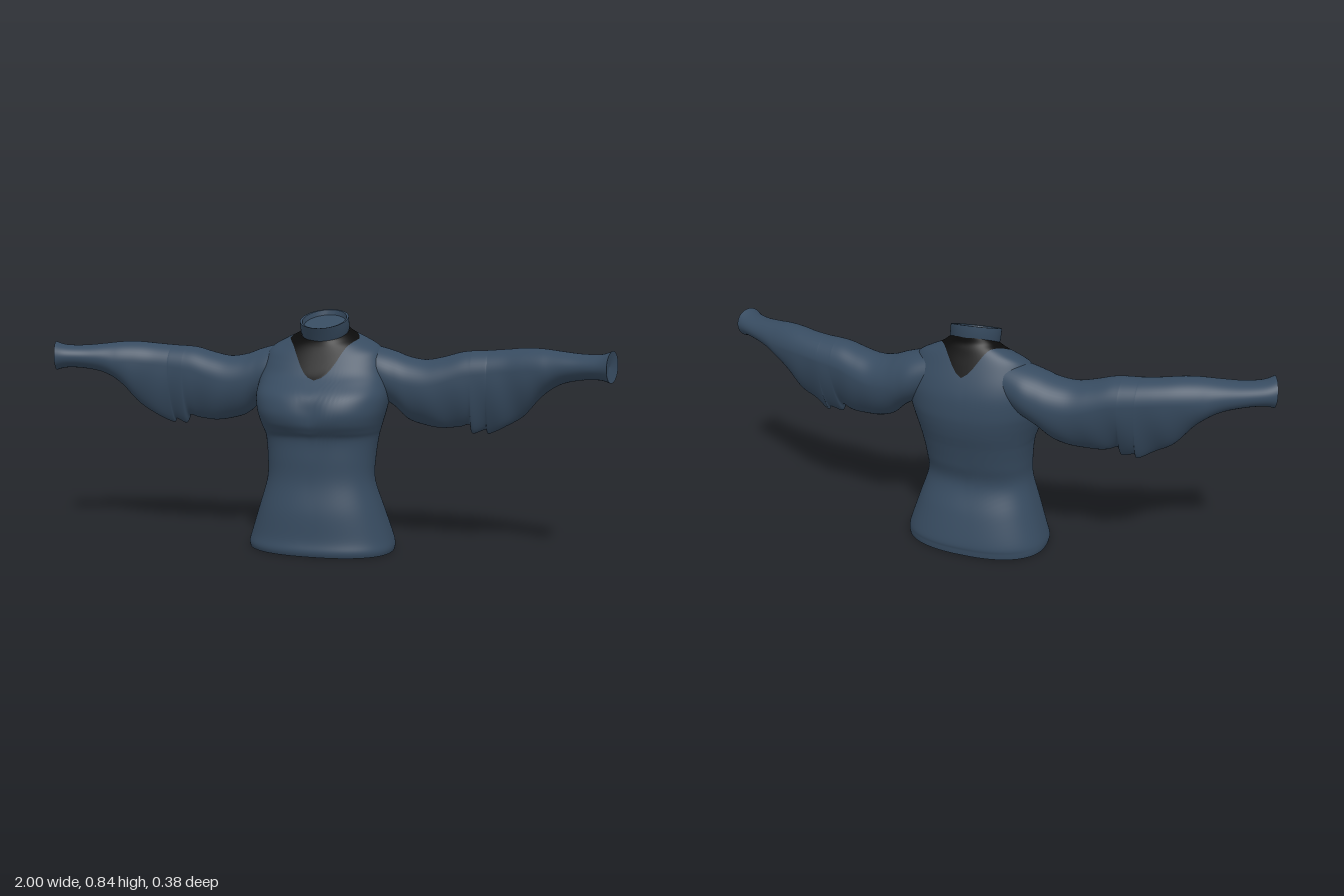
import * as THREE from 'three';
import { toCreasedNormals } from 'three/addons/utils/BufferGeometryUtils.js';

const cloth = new THREE.MeshStandardMaterial({ color: 0x374b60 });
cloth.name = 'slate blue cloth';
const black = new THREE.MeshStandardMaterial({ color: 0x0b0b0b });
black.name = 'black yoke';
const lining = new THREE.MeshStandardMaterial({ color: 0x5c4045 });
lining.name = 'dusky pink lining';

// Closed-ring surface from point(u, v), with u running round the ring
function grid(point, nu, nv, flip = false) {
  const pos = [], index = [];
  for (let j = 0; j <= nv; j++)
    for (let i = 0; i < nu; i++) pos.push(...point(i / nu, j / nv));
  for (let j = 0; j < nv; j++)
    for (let i = 0; i < nu; i++) {
      const a = j * nu + i, b = j * nu + ((i + 1) % nu), c = a + nu, d = b + nu;
      if (flip) index.push(a, b, c, b, d, c);
      else index.push(a, c, b, b, c, d);
    }
  const g = new THREE.BufferGeometry();
  g.setAttribute('position', new THREE.Float32BufferAttribute(pos, 3));
  g.setIndex(index);
  g.computeVertexNormals();
  return g;
}

// Interpolate a table of rows at v in 0..1
function sample(rows, v, smooth = true) {
  const f = Math.min(Math.max(v, 0), 1) * (rows.length - 1);
  const k = Math.min(Math.floor(f), rows.length - 2), t = f - k;
  const at = (i) => rows[Math.min(Math.max(i, 0), rows.length - 1)];
  return rows[0].map((_, n) => {
    const [p, a, b, q] = [at(k - 1)[n], at(k)[n], at(k + 1)[n], at(k + 2)[n]];
    if (!smooth) return a + (b - a) * t;
    return 0.5 * (2 * a + (b - p) * t + (2 * p - 5 * a + 4 * b - q) * t * t + (3 * a - p - 3 * b + q) * t ** 3);
  });
}

// Tilted superellipse ring: front y, front z, back y, back z, half width
function ringPoint([yF, zF, yB, zB, w], u, n) {
  const c = Math.cos(u * Math.PI * 2), s = Math.sin(u * Math.PI * 2);
  const pow = (k) => Math.sign(k) * Math.abs(k) ** (2 / n);
  const h = (pow(s) + 1) / 2;
  return [w * pow(c), yB + (yF - yB) * h, zB + (zF - zB) * h];
}

const torsoRows = [
  [0, 0.175, 0, -0.175, 0.26],
  [0.02, 0.18, 0.02, -0.177, 0.262],
  [0.06, 0.172, 0.05, -0.177, 0.253],
  [0.15, 0.166, 0.15, -0.15, 0.222],
  [0.25, 0.148, 0.25, -0.115, 0.192],
  [0.33, 0.148, 0.33, -0.135, 0.192],
  [0.4, 0.15, 0.4, -0.155, 0.2],
  [0.43, 0.168, 0.43, -0.165, 0.208],
  [0.46, 0.187, 0.46, -0.175, 0.217],
  [0.5, 0.193, 0.5, -0.185, 0.228],
  [0.55, 0.175, 0.54, -0.19, 0.235],
  [0.59, 0.132, 0.6, -0.188, 0.232],
  [0.62, 0.1, 0.65, -0.175, 0.225],
  [0.655, 0.078, 0.7, -0.155, 0.213],
  [0.685, 0.062, 0.735, -0.14, 0.195],
  [0.71, 0.05, 0.76, -0.13, 0.15],
  [0.725, 0.045, 0.78, -0.122, 0.108],
  [0.735, 0.043, 0.8, -0.12, 0.085],
];

function torsoPoint(u, v) {
  const p = ringPoint(sample(torsoRows, v), u, v < 0.7 ? 2.4 : 2.4 - (v - 0.7));
  // shallow hollow between the two sides of the bust
  if (p[2] > 0) p[2] -= 0.012 * Math.exp(-((p[0] / 0.045) ** 2) - ((p[1] - 0.5) / 0.05) ** 2);
  return p;
}

// Height parameter at which the pointed yoke begins for each column
function yokeEdge(u) {
  let v = 1;
  for (; v > 0.5; v -= 0.001) {
    const [x, , z] = torsoPoint(u, v), d = z + 0.03;
    const reach = (Math.abs(x) / 0.125) ** 1.5 + (d > 0 ? (d / 0.145) ** 1.3 : (-d / 0.137) ** 1.5);
    if (reach > 1) break;
  }
  return v;
}

// Sleeve stations: x, top y, bottom y, back z, front z
const sleeveRows = [
  [0.14, 0.725, 0.57, -0.15, 0.02],
  [0.2, 0.712, 0.535, -0.165, 0.03],
  [0.25, 0.698, 0.505, -0.162, 0.03],
  [0.3, 0.68, 0.462, -0.155, 0.032],
  [0.36, 0.672, 0.443, -0.145, 0.035],
  [0.42, 0.683, 0.436, -0.138, 0.035],
  [0.48, 0.7, 0.442, -0.13, 0.034],
  [0.515, 0.705, 0.452, -0.126, 0.034],
  [0.527, 0.706, 0.422, -0.124, 0.034],
  [0.57, 0.708, 0.436, -0.118, 0.034],
  [0.582, 0.709, 0.422, -0.116, 0.034],
  [0.64, 0.714, 0.452, -0.105, 0.042],
  [0.7, 0.72, 0.49, -0.09, 0.058],
  [0.76, 0.72, 0.56, -0.068, 0.074],
  [0.82, 0.714, 0.603, -0.04, 0.086],
  [0.89, 0.708, 0.622, -0.005, 0.105],
  [0.95, 0.71, 0.626, 0.025, 0.13],
  [0.983, 0.722, 0.618, 0.042, 0.15],
];

// Teardrop section: round on top, hanging to a narrow fold below
function sleevePoint(u, v) {
  const [x, top, bottom, zB, zF] = sample(sleeveRows, v);
  const c = Math.cos(u * Math.PI * 2), s = Math.sin(u * Math.PI * 2);
  const hz = (zF - zB) / 2, r = Math.min(hz, (top - bottom) / 2), yc = top - r;
  const droop = Math.max(0, yc - bottom - r) / 0.15;
  const low = Math.max(0, -s);
  let z = hz * c * (1 - 0.45 * droop * low * low);
  z += 0.007 * droop * low * Math.sin(x * 55 + s * 2);
  const shear = 0.33 * THREE.MathUtils.smoothstep(x, 0.6, 0.98);
  const y = yc + s * (s > 0 ? r : yc - bottom);
  return [x - shear * z, y, (zF + zB) / 2 + z + 0.012 * droop * low];
}

// Recessed end of the cuff
function cuffPoint(u, v) {
  const p = sleevePoint(u, 1), mid = [0.973, 0.67, 0.096];
  return p.map((k, i) => k + (mid[i] - k) * v);
}

// Standing collar: outer wall, rim, inner wall, floor
const collarRows = [
  [0.728, 0.04, 0.79, -0.118, 0.08],
  [0.745, 0.049, 0.8, -0.121, 0.086],
  [0.78, 0.07, 0.84, -0.12, 0.085],
  [0.78, 0.062, 0.838, -0.112, 0.077],
  [0.765, 0.052, 0.82, -0.11, 0.073],
  [0.793, -0.029, 0.793, -0.029, 0],
];

export function createModel() {
  const group = new THREE.Group();
  const add = (name, geometry, material) => {
    const mesh = new THREE.Mesh(geometry, material);
    mesh.name = name;
    group.add(mesh);
  };

  // Bodice and yoke meet along the pointed neckline
  const cols = 96;
  const edges = Array.from({ length: cols }, (_, i) => yokeEdge(i / cols));
  const edge = (u) => edges[Math.round(u * cols) % cols];
  add('bodice', grid((u, v) => torsoPoint(u, v * edge(u)), cols, 80), cloth);
  add('yoke', grid((u, v) => torsoPoint(u, edge(u) + v * (1 - edge(u))), cols, 24), black);

  // Inside of the bodice, seen through the hem
  const inside = (u, v) => {
    const [x, y, z] = torsoPoint(u, v * 0.7);
    const k = v > 0.96 ? 0 : 0.98;
    return [x * k, y + 0.001, z * k];
  };
  add('bodiceLining', grid(inside, 64, 40, true), lining);

  add('collar', toCreasedNormals(grid((u, v) => ringPoint(sample(collarRows, v, false), u, 2), 48, 5), 0.6), cloth);

  // Sleeves, mirrored across x
  for (const side of [1, -1]) {
    const mirror = (fn) => (u, v) => { const [x, y, z] = fn(u, v); return [side * x, y, z]; };
    const name = side > 0 ? 'left' : 'right';
    add(name + 'Sleeve', grid(mirror(sleevePoint), 48, 85, side < 0), cloth);
    add(name + 'CuffEnd', grid(mirror(cuffPoint), 48, 3, side < 0), cloth);
  }
  return group;
}
